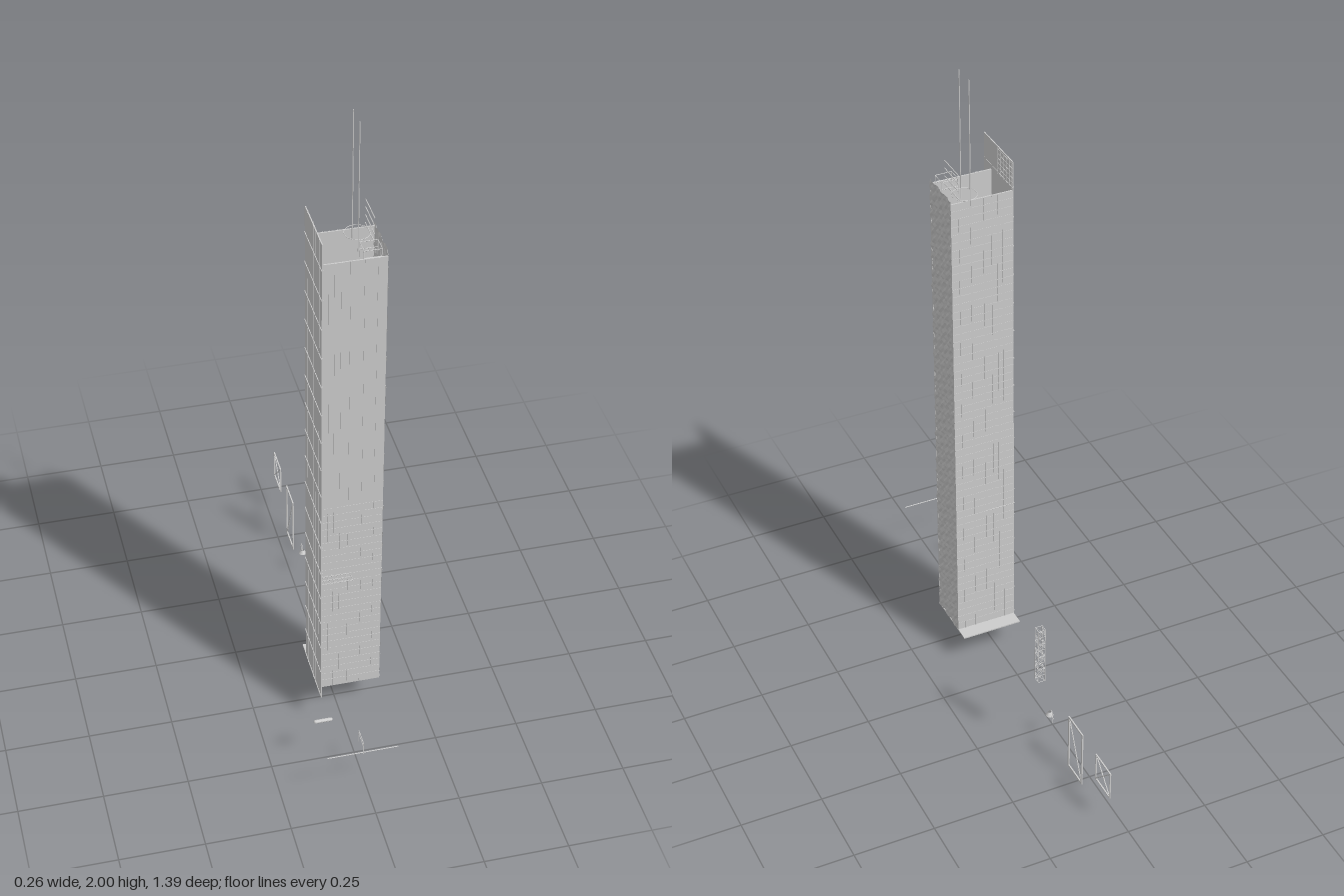
import * as THREE from 'three';

export function createModel() {
  const root = new THREE.Group();
  const mat = new THREE.MeshStandardMaterial({ color: 0xcccccc, flatShading: true, side: THREE.DoubleSide });

  const group = (name, parent = root) => {
    const g = new THREE.Group();
    g.name = name;
    parent.add(g);
    return g;
  };
  // Box given by its minimum and maximum corners
  const box = (name, a, b, parent = root) => {
    const m = new THREE.Mesh(new THREE.BoxGeometry(b[0] - a[0], b[1] - a[1], b[2] - a[2]), mat);
    m.position.set((a[0] + b[0]) / 2, (a[1] + b[1]) / 2, (a[2] + b[2]) / 2);
    m.name = name;
    parent.add(m);
    return m;
  };
  // Straight rod between two points
  const rod = (name, a, b, r, parent = root) => {
    const p = new THREE.Vector3(...a), q = new THREE.Vector3(...b);
    const m = new THREE.Mesh(new THREE.CylinderGeometry(r, r, p.distanceTo(q), 6), mat);
    m.position.copy(p).lerp(q, 0.5);
    m.quaternion.setFromUnitVectors(new THREE.Vector3(0, 1, 0), q.sub(p).normalize());
    m.name = name;
    parent.add(m);
    return m;
  };

  const X0 = -0.065, X1 = 0.125, Z0 = 0.165, Z1 = 0.31, Y0 = 0.1, Y1 = 1.63;

  // Tower shell: floor, front, back and the taller side wall
  const tower = group('tower');
  box('floorSlab', [X0, Y0 - 0.002, 0.12], [X1, Y0 + 0.002, Z1], tower);
  box('frontWall', [X0, Y0, Z1 - 0.004], [X1, Y1 - 0.005, Z1], tower);
  box('backWall', [X0, Y0, Z0], [X1, Y1, Z0 + 0.004], tower);
  box('tallSideWall', [X0 - 0.001, Y0, Z0], [X0 + 0.002, 1.72, 0.355], tower);

  // Rough rock wall: a sheet pushed in and out by a fixed wave rule
  const rockGeo = new THREE.PlaneGeometry(Z1 - Z0, Y1 - Y0 + 0.01, 16, 144);
  const pos = rockGeo.attributes.position;
  for (let i = 0; i < pos.count; i++) {
    const u = pos.getX(i) * 100, v = pos.getY(i) * 100;
    const n = Math.sin(u * 1.1 + Math.sin(v * 0.9) * 1.5) * Math.sin(v * 1.32) + 0.5 * Math.sin(u * 2.7 - v * 1.9);
    pos.setZ(i, n * 0.0025);
  }
  rockGeo.rotateY(Math.PI / 2);
  rockGeo.computeVertexNormals();
  const rock = new THREE.Mesh(rockGeo, mat);
  rock.name = 'rockWall';
  rock.position.set(X1, (Y0 + Y1) / 2 + 0.005, (Z0 + Z1) / 2);
  tower.add(rock);

  // Raised seams on the flat walls
  const seams = group('wallSeams', tower);
  for (let y = Y0 + 0.025; y < Y1 - 0.01; y += 0.0255) {
    if (y < 0.81) box('frontSeam', [X0, y, Z1], [X1, y + 0.003, Z1 + 0.001], seams);
    box('backSeam', [X0, y, Z0 - 0.001], [X1, y + 0.003, Z0], seams);
  }
  for (const x of [-0.034, -0.018, 0.0, 0.025, 0.064, 0.1]) {
    box('frontUpright', [x - 0.002, Y0, Z1], [x + 0.002, Y1 - 0.005, Z1 + 0.0015], seams);
    box('backUpright', [x - 0.002, Y0, Z0 - 0.0015], [x + 0.002, Y1, Z0], seams);
  }
  for (let i = 0; i < 17; i++) {
    const y = 0.11 + i * 0.0955;
    for (const x of [X0 - 0.002, X0 + 0.002])
      box('sideSeam', [x - 0.001, y, Z0], [x + 0.001, y + 0.003, 0.355], seams);
  }
  for (const z of [0.195, 0.26, 0.285, 0.325])
    box('sideUpright', [X0 - 0.002, Y0, z], [X0, 1.72, z + 0.003], seams);

  // Open grating that reaches out past the front wall
  const grating = group('grating');
  for (let i = 0; i <= 7; i++) {
    const x = X0 + i * 0.0136;
    rod('gratingBar', [x, 0.54, 0.16], [x, 0.54, 0.35], 0.0009, grating);
  }
  for (let i = 0; i <= 12; i++) {
    const z = 0.16 + i * 0.0155;
    rod('gratingCrossBar', [X0, 0.54, z], [0.03, 0.54, z], 0.0009, grating);
  }

  // Equipment on the tower top
  const topGear = group('topGear');
  for (const z of [0.235, 0.17]) rod('antenna', [0.063, 1.6, z], [0.063, 2, z], 0.0015, topGear);
  for (let i = 0; i < 4; i++) {
    rod('topRail', [0.1, 1.642 + i * 0.025, 0.165], [0.1, 1.642 + i * 0.025, 0.26], 0.0014, topGear);
  }
  for (let i = 0; i < 6; i++) {
    const z = 0.167 + i * 0.0185;
    rod('wallGridUpright', [X0 + 0.003, 1.635, z], [X0 + 0.003, 1.718, z], 0.0009, topGear);
    const y = 1.64 + i * 0.015;
    rod('wallGridBar', [X0 + 0.003, y, 0.165], [X0 + 0.003, y, 0.26], 0.0009, topGear);
  }
  const hoop = new THREE.Mesh(new THREE.TorusGeometry(0.036, 0.0009, 5, 32), mat);
  hoop.rotation.x = Math.PI / 2;
  hoop.position.set(0.07, 1.635, 0.195);
  hoop.name = 'hoop';
  topGear.add(hoop);
  // Small open frame beside the hoop
  for (const z of [0.26, 0.305]) {
    for (const y of [1.625, 1.648]) rod('frameRail', [0.06, y, z], [0.11, y, z], 0.001, topGear);
    for (const x of [0.06, 0.11]) rod('framePost', [x, 1.6, z], [x, 1.648, z], 0.001, topGear);
  }
  for (const x of [0.06, 0.11]) rod('frameRail', [x, 1.648, 0.26], [x, 1.648, 0.305], 0.001, topGear);

  // Braced panels standing behind the tower, lying in the plane x = 0.035
  const panel = (name, y0, y1, z0, z1, t, braces) => {
    const g = group(name), x0 = 0.033, x1 = 0.037;
    for (const z of [z0, z1 - t]) box('stile', [x0, y0, z], [x1, y1, z + t], g);
    for (const y of [y0, y1 - t]) box('rail', [x0, y, z0], [x1, y + t, z1], g);
    rod('brace', [0.035, y1 - t, z1 - t], [0.035, y0 + t, z0 + t], 0.0017, g);
    if (braces > 1) rod('brace', [0.035, y0 + t, z1 - t], [0.035, y1 - t, z0 + t], 0.0017, g);
  };
  panel('tallPanel', 0, 0.195, -0.52, -0.428, 0.006, 1);
  panel('squarePanel', 0.1, 0.195, -0.697, -0.605, 0.003, 2);

  // Free lattice mast
  const mast = group('latticeMast');
  const corners = [[0.078, -0.355], [0.1, -0.355], [0.1, -0.333], [0.078, -0.333]];
  corners.forEach(([x, z], i) => {
    const [x2, z2] = corners[(i + 1) % 4];
    rod('mastLeg', [x, 0.29, z], [x, 0.485, z], 0.0011, mast);
    for (let k = 0; k <= 8; k++) {
      const y = 0.291 + k * 0.024;
      rod('mastRing', [x, y, z], [x2, y, z2], 0.0008, mast);
      if (k < 8) rod('mastBrace', k % 2 ? [x2, y, z2] : [x, y, z], k % 2 ? [x, y + 0.024, z] : [x2, y + 0.024, z2], 0.0008, mast);
    }
  });

  // Small lamp with a bent arm
  const lamp = group('lamp');
  const shade = new THREE.Mesh(new THREE.CylinderGeometry(0.005, 0.012, 0.012, 12, 1, true), mat);
  shade.position.set(0.035, 0.1, -0.3);
  shade.name = 'lampShade';
  lamp.add(shade);
  const arm = new THREE.CatmullRomCurve3([[0.106, -0.3], [0.12, -0.307], [0.12, -0.316], [0.1, -0.321], [0.08, -0.321]]
    .map(([y, z]) => new THREE.Vector3(0.035, y, z)));
  const armMesh = new THREE.Mesh(new THREE.TubeGeometry(arm, 16, 0.001, 5), mat);
  armMesh.name = 'lampArm';
  lamp.add(armMesh);
  rod('lampBracket', [0.035, 0.1, -0.3], [0.035, 0.1, -0.328], 0.001, lamp);

  // Handrail loop in front
  const handrail = group('handrail');
  rod('railTop', [0, 0.138, 0.55], [0, 0.138, 0.604], 0.0012, handrail);
  for (const z of [0.55, 0.604]) rod('railPost', [0, 0.095, z], [0, 0.138, z], 0.0012, handrail);
  rod('railMiddle', [0, 0.125, 0.55], [0, 0.125, 0.604], 0.0009, handrail);

  // Small rounded bar and the long thin cable
  const bar = new THREE.Mesh(new THREE.CapsuleGeometry(0.0055, 0.045, 4, 10), mat);
  bar.rotation.z = Math.PI / 2;
  bar.position.set(-0.104, 0.191, 0.537);
  bar.name = 'roundedBar';
  root.add(bar);
  rod('cable', [-0.13, 0.197, 0.693], [0.078, 0.197, 0.693], 0.0015);

  return root;
}
